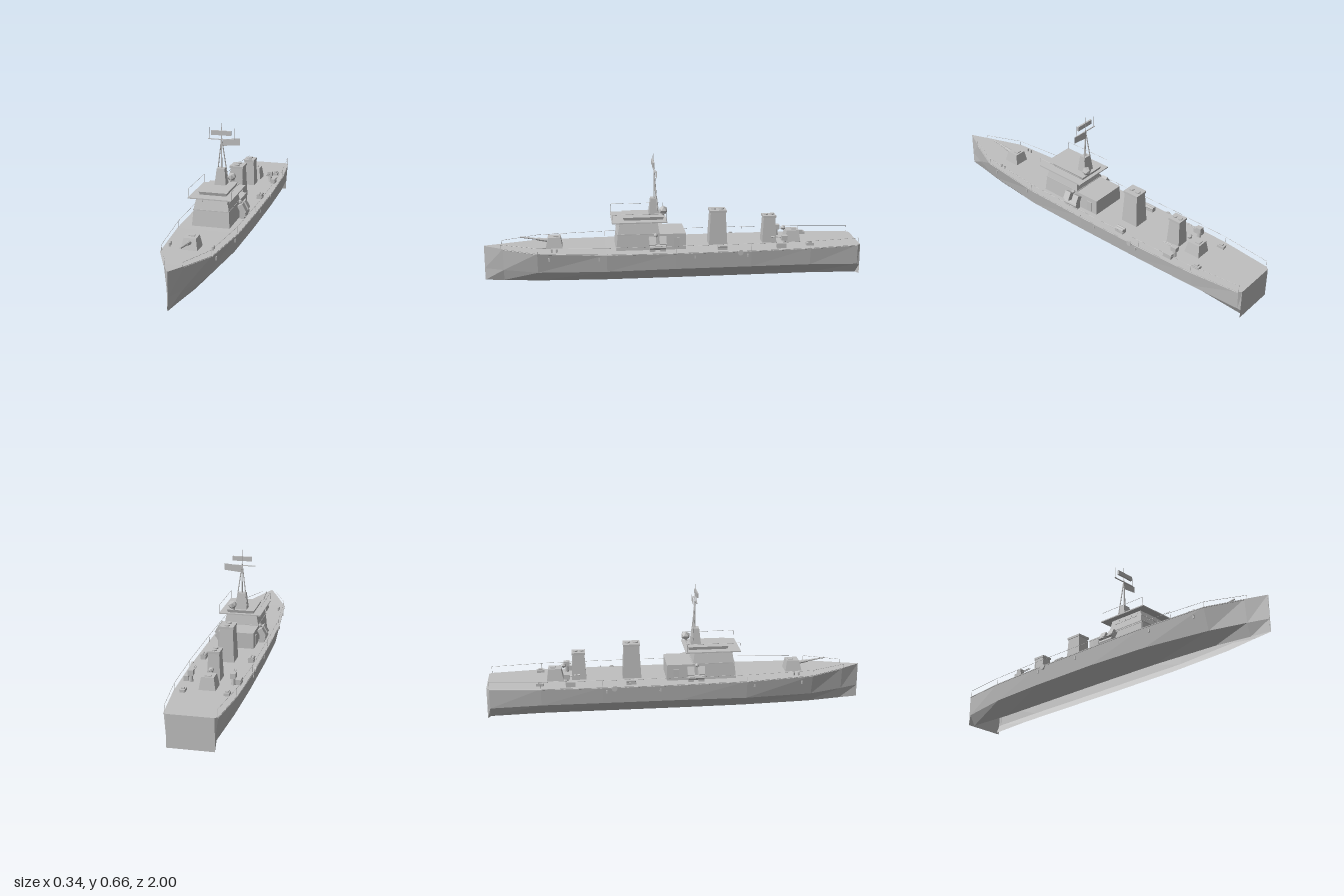
import * as THREE from 'three';

const grey = new THREE.MeshStandardMaterial({ color: 0xc0c0c0, flatShading: true, side: THREE.DoubleSide });
grey.name = 'naval grey';

// Lofted hull; each section: z, deck half-width, deck y, chine half-width, chine y, bottom half-width, bottom y
const SECTIONS = [
  [1, 0.002, 0.188, 0.002, 0.065, 0.002, 0],
  [0.9, 0.05, 0.182, 0.038, 0.063, 0.016, 0],
  [0.72, 0.128, 0.174, 0.095, 0.06, 0.045, 0],
  [0.36, 0.16, 0.167, 0.14, 0.067, 0.066, 0],
  [0, 0.165, 0.165, 0.15, 0.073, 0.07, 0],
  [-0.4, 0.165, 0.165, 0.15, 0.073, 0.07, 0],
  [-0.72, 0.155, 0.165, 0.142, 0.07, 0.07, 0],
  [-0.985, 0.126, 0.165, 0.118, 0.055, 0.085, 0],
  [-1, 0.113, 0.165, 0.113, 0.05, 0.113, 0],
];

// Shell of deck, sides and bilges, open underneath, closed by the transom
function hullGeometry() {
  const pos = [], idx = [];
  for (const [z, dw, dy, cw, cy, bw, by] of SECTIONS) {
    pos.push(dw, dy, z, cw, cy, z, bw, by, z, -bw, by, z, -cw, cy, z, -dw, dy, z);
  }
  for (let i = 0; i < SECTIONS.length - 1; i++) {
    for (const j of [0, 1, 3, 4, 5]) {
      const a = i * 6 + j, b = i * 6 + (j + 1) % 6, c = a + 6, d = b + 6;
      idx.push(a, b, c, b, d, c);
    }
  }
  const t = (SECTIONS.length - 1) * 6;
  for (let j = 1; j < 5; j++) idx.push(t, t + j, t + j + 1);
  const g = new THREE.BufferGeometry();
  g.setAttribute('position', new THREE.Float32BufferAttribute(pos, 3));
  g.setIndex(idx);
  const flat = g.toNonIndexed();
  flat.computeVertexNormals();
  return flat;
}

// Deck edge half-width and height at a given z
function deckAt(z) {
  let i = 0;
  while (i < SECTIONS.length - 2 && SECTIONS[i + 1][0] > z) i++;
  const a = SECTIONS[i], b = SECTIONS[i + 1], t = (a[0] - z) / (a[0] - b[0]);
  return [a[1] + (b[1] - a[1]) * t, a[2] + (b[2] - a[2]) * t];
}

export function createModel() {
  const model = new THREE.Group();
  model.name = 'patrolShip';

  function add(name, geo, x = 0, y = 0, z = 0) {
    const m = new THREE.Mesh(geo, grey);
    m.name = name;
    m.position.set(x, y, z);
    model.add(m);
    return m;
  }
  const box = (name, x, y, z, w, h, d) => add(name, new THREE.BoxGeometry(w, h, d), x, y, z);
  // Tapered block between y0 and y1; ranges are [halfWidth, zBack, zFront]
  function block(name, y0, y1, bottom, top) {
    const g = new THREE.BoxGeometry(1, 1, 1), p = g.attributes.position;
    for (let i = 0; i < p.count; i++) {
      const up = p.getY(i) > 0, [w, zb, zf] = up ? top : bottom;
      p.setXYZ(i, Math.sign(p.getX(i)) * w, up ? y1 : y0, p.getZ(i) > 0 ? zf : zb);
    }
    g.computeVertexNormals();
    return add(name, g);
  }
  function rod(name, a, b, r = 0.0015, r2 = r, sides = 6) {
    const A = new THREE.Vector3(...a), B = new THREE.Vector3(...b), d = B.clone().sub(A);
    const m = add(name, new THREE.CylinderGeometry(r2, r, d.length(), sides));
    m.position.copy(A).add(B).multiplyScalar(0.5);
    m.quaternion.setFromUnitVectors(new THREE.Vector3(0, 1, 0), d.normalize());
    return m;
  }
  const ball = (name, x, y, z, r) => add(name, new THREE.IcosahedronGeometry(r, 0), x, y, z);

  add('hull', hullGeometry());
  rod('stemBar', [0, 0.02, 0.997], [0, 0.188, 0.997], 0.003);

  // Rubbing strake and guard rails along the deck edge
  for (const s of [-1, 1]) {
    for (let i = 1; i < SECTIONS.length - 2; i++) {
      const a = SECTIONS[i], b = SECTIONS[i + 1];
      rod('rubbingStrake', [s * a[1], a[2] - 0.004, a[0]], [s * b[1], b[2] - 0.004, b[0]], 0.002);
    }
    const stops = [0.91, 0.72, 0.36, 0, -0.4, -0.72, -0.985];
    const pts = stops.map((z) => {
      const [w, y] = deckAt(z);
      return [s * (w - 0.004), y, z];
    });
    pts.forEach((p, i) => {
      rod('railPost', p, [p[0], 0.202, p[2]], 0.001);
      if (i) rod('guardRail', [pts[i - 1][0], 0.202, pts[i - 1][2]], [p[0], 0.202, p[2]], 0.001);
    });
  }

  // Deckhouse and bridge
  block('aftDeckhouse', 0.16, 0.25, [0.098, -0.06, 0.09], [0.095, -0.06, 0.09]);
  block('bridgeBase', 0.16, 0.25, [0.1, 0.07, 0.31], [0.093, 0.075, 0.3]);
  box('bridgeLedge', 0, 0.251, 0.19, 0.19, 0.004, 0.226);
  block('bridge', 0.253, 0.317, [0.093, 0.08, 0.3], [0.08, 0.09, 0.285]);
  box('bridgeRoof', 0, 0.319, 0.185, 0.228, 0.006, 0.29);
  block('roofHouse', 0.322, 0.338, [0.07, 0.06, 0.265], [0.074, 0.055, 0.27]);
  for (let i = 0; i < 4; i++) {
    const x = -0.066 + i * 0.044;
    box('frontWindow', x, 0.296, 0.2895, 0.034, 0.018, 0.004).rotation.x = -0.23;
    for (const s of [-1, 1]) {
      box('sideWindow', s * 0.0842, 0.296, 0.13 + i * 0.04, 0.004, 0.018, 0.03).rotation.z = s * 0.2;
    }
  }
  // Bridge-wing rails
  for (const s of [-1, 1]) {
    for (const z of [0.325, 0.045]) rod('wingPost', [s * 0.112, 0.32, z], [s * 0.112, 0.366, z], 0.001);
    rod('wingRail', [s * 0.112, 0.366, 0.325], [s * 0.112, 0.366, 0.045], 0.001);
  }

  // Mast, yard, radar and flag
  block('mastHouse', 0.335, 0.425, [0.031, 0.075, 0.13], [0.021, 0.085, 0.12]);
  rod('mast', [0, 0.42, 0.1], [0, 0.662, 0.1], 0.004, 0.0015);
  for (const s of [-1, 1]) {
    rod('mastLeg', [s * 0.03, 0.36, 0.085], [0, 0.585, 0.1], 0.003);
    rod('whipAerial', [s * 0.067, 0.577, 0.1], [s * 0.067, 0.638, 0.1], 0.001);
  }
  box('yard', 0, 0.576, 0.1, 0.144, 0.004, 0.006);
  box('radarAerial', 0, 0.612, 0.106, 0.105, 0.024, 0.01);
  const flag = new THREE.Shape([[0.005, 0.54], [0.095, 0.549], [0.095, 0.585], [0.005, 0.577]].map((p) => new THREE.Vector2(...p)));
  add('flag', new THREE.ShapeGeometry(flag), 0, 0, 0.092);
  ball('radome', 0.043, 0.367, 0.055, 0.024);
  rod('radomeStand', [0.035, 0.335, 0.058], [0.042, 0.36, 0.056], 0.006);

  // Gun houses
  function turret(name, y, z, h) {
    block(name, y, y + h, [0.042, z - 0.045, z + 0.045], [0.031, z - 0.035, z + 0.03]);
    box(name + 'Hatch', 0, y + h + 0.002, z - 0.012, 0.03, 0.005, 0.026);
  }
  turret('foreTurret', 0.17, 0.633, 0.059);
  rod('foreGunBarrel', [0, 0.207, 0.66], [0, 0.23, 0.81], 0.006, 0.004, 8);
  rod('foreGunSleeve', [0, 0.207, 0.66], [0, 0.216, 0.72], 0.011, 0.008, 8);
  turret('aftTurret', 0.162, -0.645, 0.066);
  ball('aftDirector', 0, 0.237, -0.6, 0.014);

  // Funnels with capped twin pipes
  function funnel(name, z, w, d, top) {
    block(name, 0.16, top - 0.012, [w, z - d, z + d], [w * 0.8, z - d * 0.8, z + d * 0.8]);
    box(name + 'Cap', 0, top - 0.008, z, w * 1.8, 0.012, d * 1.8);
    for (const s of [-1, 1]) {
      add(name + 'Pipe', new THREE.CylinderGeometry(w * 0.35, w * 0.35, 0.008, 8), 0, top, z + s * d * 0.42);
    }
  }
  funnel('mainFunnel', -0.24, 0.042, 0.05, 0.354);
  funnel('aftFunnel', -0.52, 0.034, 0.039, 0.315);

  // Mirrored deck fittings
  for (const s of [-1, 1]) {
    // Angled launchers beside the deckhouse
    for (const z of [0.065, 0.12]) {
      box('launcherStand', s * 0.118, 0.185, z, 0.025, 0.04, 0.03);
      box('launcherBox', s * 0.118, 0.22, z, 0.03, 0.045, 0.036).rotation.z = s * 0.5;
    }
    rod('launcherDrum', [s * 0.126, 0.188, 0.05], [s * 0.126, 0.188, 0.135], 0.014, 0.014, 8);
    ball('searchlight', s * 0.101, 0.247, 0.1, 0.012);
    // Doors on the deckhouse
    box('deckhouseDoor', s * 0.098, 0.2, -0.01, 0.005, 0.055, 0.03);
    // Life raft canisters amidships
    box('raftCradle', s * 0.125, 0.172, -0.25, 0.028, 0.014, 0.05);
    for (const k of [-1, 1]) {
      rod('raftCanister', [s * 0.125 + k * 0.007, 0.184, -0.275], [s * 0.125 + k * 0.007, 0.184, -0.225], 0.008, 0.008, 8);
    }
    // Light gun mounts
    rod('gunPedestal', [s * 0.105, 0.163, -0.585], [s * 0.105, 0.2, -0.585], 0.012, 0.008, 8);
    box('gunMount', s * 0.105, 0.212, -0.585, 0.026, 0.026, 0.032);
    for (const k of [-1, 1]) {
      rod('lightGunBarrel', [s * 0.1 + k * 0.004, 0.212, -0.575], [s * 0.1 + k * 0.004, 0.218, -0.515], 0.002);
    }
    box('ammunitionLocker', s * 0.13, 0.178, -0.565, 0.024, 0.026, 0.05);
    // Stern vents
    box('sternVent', s * 0.107, 0.174, -0.725, 0.026, 0.014, 0.04);
    box('ventCap', s * 0.107, 0.184, -0.725, 0.016, 0.008, 0.02);
    // Bollards
    for (const z of [0.645, 0.62]) rod('bollard', [s * 0.108, 0.168, z], [s * 0.108, 0.19, z], 0.005, 0.005, 8);
    // Disc fenders and hull fittings
    rod('fender', [s * 0.16, 0.157, -0.34], [s * 0.17, 0.157, -0.34], 0.015, 0.015, 10);
    for (const z of [0.66, 0.4, -0.1, -0.38]) {
      const [w] = deckAt(z);
      box('scupper', s * (w - 0.003), 0.14, z, 0.005, 0.018, 0.008);
    }
  }
  return model;
}
